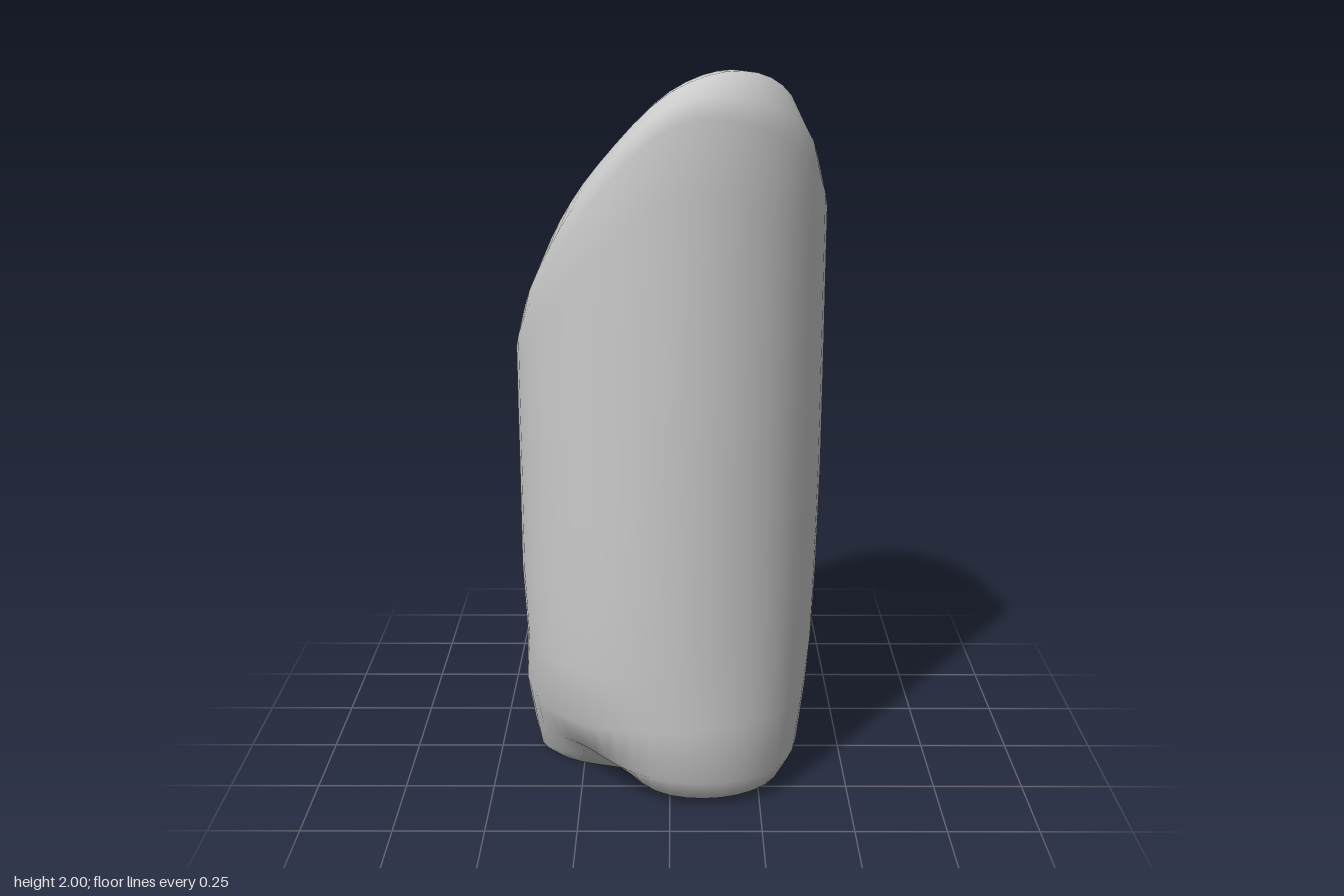
import * as THREE from 'three';

const SEG = 48;

// Smooth periodic curve through evenly spaced values around the column.
// Angles start at the front (+z) and turn towards +x. A plain number is constant.
function around(keys, theta) {
  if (typeof keys === 'number') return keys;
  const n = keys.length;
  const u = (theta / (Math.PI * 2)) * n;
  const i = Math.floor(u), t = u - i;
  const [a, b, c, d] = [-1, 0, 1, 2].map((k) => keys[(i + k + n) % n]);
  return b + 0.5 * t * (c - a + t * (2 * a - 5 * b + 4 * c - d + t * (3 * (b - c) + d - a)));
}

// Worn foot and lower shaft: [radii every 45 degrees, height]
const FOOT = [
  [0.15, 0.015],
  [[0.27, 0.32, 0.26, 0.3, 0.28, 0.36, 0.36, 0.2], 0],
  [[0.34, 0.38, 0.32, 0.36, 0.33, 0.4, 0.38, 0.25], [0.02, 0.015, 0.03, 0.015, 0.015, 0.01, 0.01, 0.06]],
  [[0.41, 0.42, 0.37, 0.415, 0.38, 0.42, 0.4, 0.34], [0.1, 0.08, 0.12, 0.09, 0.08, 0.08, 0.1, 0.12]],
  [[0.415, 0.423, 0.395, 0.42, 0.39, 0.42, 0.42, 0.405], [0.25, 0.25, 0.25, 0.25, 0.25, 0.25, 0.25, 0.23]],
  [[0.418, 0.425, 0.41, 0.42, 0.395, 0.42, 0.415, 0.42], 0.4],
  [[0.422, 0.425, 0.418, 0.42, 0.4, 0.42, 0.425, 0.425], 0.6],
  [[0.425, 0.425, 0.425, 0.42, 0.405, 0.42, 0.425, 0.425], 0.9],
];

// Broken top, from the rim inwards: [radius, heights every 30 degrees]
const RIM = [1.87, 1.87, 1.76, 1.6, 1.63, 1.7, 1.75, 1.52, 1.2, 1.21, 1.39, 1.66];
const TOP = [
  [0.405, [1.92, 1.93, 1.85, 1.68, 1.71, 1.76, 1.775, 1.48, 1.24, 1.29, 1.47, 1.72]],
  [0.36, [1.95, 2, 1.93, 1.75, 1.77, 1.82, 1.8, 1.45, 1.3, 1.37, 1.56, 1.77]],
  [0.31, [1.95, 2, 1.94, 1.79, 1.81, 1.85, 1.82, 1.46, 1.36, 1.41, 1.59, 1.79]],
  [0.26, [1.93, 1.97, 1.92, 1.81, 1.83, 1.86, 1.8, 1.5, 1.42, 1.46, 1.61, 1.79]],
  [0.13, [1.84, 1.86, 1.85, 1.8, 1.77, 1.76, 1.71, 1.62, 1.59, 1.61, 1.68, 1.77]],
];

function stoneGeometry() {
  const rings = [];
  const ring = (radius, height) => rings.push(Array.from({ length: SEG }, (_, j) => {
    const t = (j / SEG) * Math.PI * 2;
    const r = around(radius, t);
    return [r * Math.sin(t), around(height, t), r * Math.cos(t)];
  }));

  FOOT.forEach(([r, y]) => ring(r, y));
  // Upper shaft, stretched up to the broken rim
  for (const k of [0.4, 0.8, 1]) ring(0.426, RIM.map((h) => THREE.MathUtils.lerp(0.95, h, k)));
  TOP.forEach(([r, y]) => ring(r, y));

  const position = rings.flat(2);
  const bottom = position.length / 3, top = bottom + 1, last = (rings.length - 1) * SEG;
  position.push(0, 0.015, 0, 0, 1.75, 0);

  const index = [];
  for (let j = 0; j < SEG; j++) {
    const n = (j + 1) % SEG;
    for (let row = 0; row < last; row += SEG) {
      const a = row + j, b = row + n, c = b + SEG, d = a + SEG;
      index.push(a, b, c, a, c, d);
    }
    // Close the underside and the middle of the top
    index.push(bottom, n, j, top, last + j, last + n);
  }

  const geometry = new THREE.BufferGeometry();
  geometry.setAttribute('position', new THREE.Float32BufferAttribute(position, 3));
  geometry.setIndex(index);
  geometry.computeVertexNormals();
  return geometry;
}

export function createModel() {
  const group = new THREE.Group();
  group.name = 'brokenColumn';
  const stone = new THREE.Mesh(stoneGeometry(), new THREE.MeshStandardMaterial({ color: 0xcccccc }));
  stone.name = 'brokenColumnShaft';
  group.add(stone);
  return group;
}
